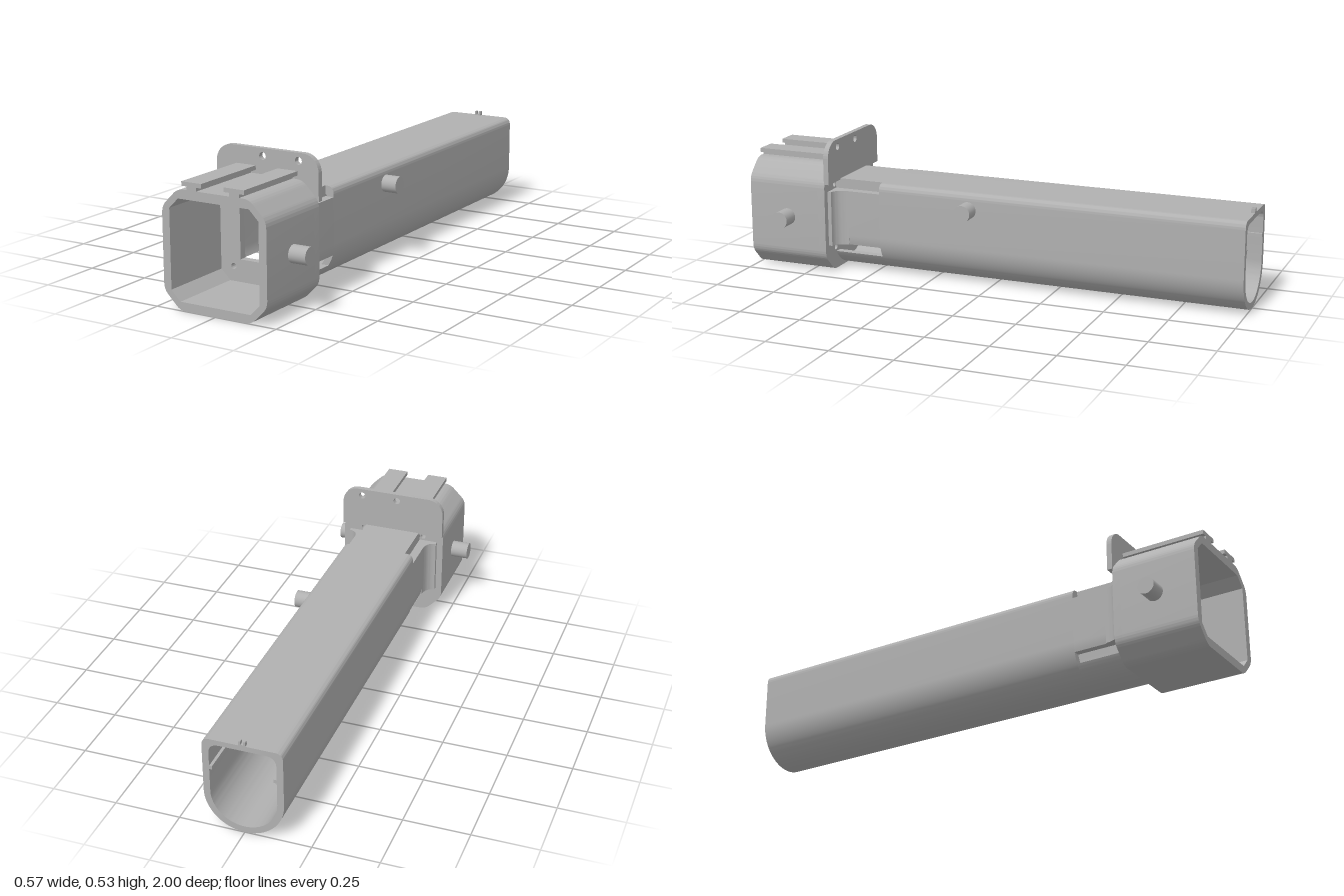
import * as THREE from 'three';
import { toCreasedNormals } from 'three/addons/utils/BufferGeometryUtils.js';

const plastic = new THREE.MeshStandardMaterial({ color: 0xb0b0b0 });
plastic.name = 'grey plastic';

// Closed outline through corner points, each corner rounded by its third value
function outline(points, Type = THREE.Shape) {
  const s = new Type();
  const n = points.length;
  const toward = (a, b, d) => {
    const l = Math.hypot(b[0] - a[0], b[1] - a[1]);
    return [a[0] + (b[0] - a[0]) * d / l, a[1] + (b[1] - a[1]) * d / l];
  };
  points.forEach((p, i) => {
    const r = p[2] || 0;
    const start = toward(p, points[(i + n - 1) % n], r);
    const end = toward(p, points[(i + 1) % n], r);
    if (i === 0) s.moveTo(...start); else s.lineTo(...start);
    if (r) s.quadraticCurveTo(p[0], p[1], ...end);
  });
  s.closePath();
  return s;
}

// Octagon with cut corners
const octagon = (w, y0, y1, c, r, Type) => outline([
  [w, y0 + c, r], [w, y1 - c, r], [w - c, y1, r], [c - w, y1, r],
  [-w, y1 - c, r], [-w, y0 + c, r], [c - w, y0, r], [w - c, y0, r],
], Type);

const circle = (x, y, r) => new THREE.Path().absarc(x, y, r, 0, Math.PI * 2, true);

// Tube section: half-round bottom, softened top corners
function tubeOutline(r, top, corner, Type) {
  const s = new Type();
  s.absarc(0, 0.15, r, Math.PI, Math.PI * 2, false);
  s.lineTo(r, top - corner);
  s.quadraticCurveTo(r, top, r - corner, top);
  s.lineTo(corner - r, top);
  s.quadraticCurveTo(-r, top, -r, top - corner);
  s.closePath();
  return s;
}

export function createModel() {
  const group = new THREE.Group();

  const add = (name, geometry, x = 0, y = 0, z = 0) => {
    const mesh = new THREE.Mesh(geometry, plastic);
    mesh.name = name;
    mesh.position.set(x, y, z);
    group.add(mesh);
    return mesh;
  };
  const extrude = (name, shape, z0, z1) => add(name, toCreasedNormals(
    new THREE.ExtrudeGeometry(shape, { depth: z1 - z0, bevelEnabled: false, curveSegments: 24 }), 0.5), 0, 0, z0);
  const box = (name, x0, x1, y0, y1, z0, z1) => add(name,
    new THREE.BoxGeometry(Math.abs(x1 - x0), y1 - y0, z1 - z0), (x0 + x1) / 2, (y0 + y1) / 2, (z0 + z1) / 2);
  const pin = (name, x0, x1, y, z) => add(name,
    new THREE.CylinderGeometry(0.033, 0.033, Math.abs(x1 - x0), 40).rotateZ(Math.PI / 2), (x0 + x1) / 2, y, z);

  // Head: open-fronted housing with a pierced back wall
  const housing = octagon(0.216, 0, 0.437, 0.068, 0.025);
  housing.holes.push(octagon(0.185, 0.033, 0.403, 0.038, 0, THREE.Path));
  extrude('headHousing', housing, 0.7, 1);
  const back = octagon(0.216, 0, 0.437, 0.068, 0.025);
  back.holes.push(outline([[-0.1, 0.118], [-0.1, 0.32], [0.1, 0.32], [0.1, 0.118]], THREE.Path));
  for (const x of [-0.13, 0.13]) for (const y of [0.089, 0.348]) back.holes.push(circle(x, y, 0.011));
  extrude('headBackWall', back, 0.67, 0.7);

  // Upright mounting flange
  const flange = new THREE.Shape();
  flange.moveTo(-0.216, 0.365);
  flange.lineTo(0.216, 0.365);
  flange.absarc(0.151, 0.467, 0.065, 0, Math.PI / 2, false);
  flange.absarc(-0.151, 0.467, 0.065, Math.PI / 2, Math.PI, false);
  flange.closePath();
  for (const x of [-0.018, 0.133]) flange.holes.push(circle(x, 0.503, 0.014));
  extrude('mountingFlange', flange, 0.65, 0.671);

  // T-shaped rails on top of the head
  for (const x of [-0.089, 0.0875]) {
    box('railStem', x - 0.0205, x + 0.0205, 0.43, 0.451, 0.67, 1);
    box('railCap', x - 0.0415, x + 0.0415, 0.45, 0.466, 0.67, 1);
  }

  // Main hollow tube
  const tube = tubeOutline(0.15, 0.37, 0.03, THREE.Shape);
  tube.holes.push(tubeOutline(0.125, 0.35, 0.04, THREE.Path));
  extrude('tube', tube, -1, 0.465);

  // Neck: the tube continues between four corner notches
  const z0 = 0.465, z1 = 0.67, cy = 0.15, ro = 0.15, ri = 0.125;
  box('neckTop', -0.115, 0.115, 0.35, 0.37, z0, z1);
  const ao = Math.asin(0.08 / ro), ai = Math.asin(0.08 / ri);
  const floor = new THREE.Shape();
  floor.absarc(0, cy, ro, Math.PI + ao, Math.PI * 2 - ao, false);
  floor.absarc(0, cy, ri, Math.PI * 2 - ai, Math.PI + ai, true);
  floor.closePath();
  extrude('neckBottom', floor, z0, z1);

  for (const s of [1, -1]) {
    // Side wall, following the start of the round bottom
    const wall = new THREE.Shape();
    const bo = Math.asin(0.04 / ro), bi = Math.asin(0.04 / ri);
    wall.moveTo(s * ri, 0.33);
    wall.lineTo(s * ro, 0.33);
    for (const [r, a, b] of [[ro, 0, bo], [ri, bi, 0]]) {
      for (let i = 0; i <= 4; i++) {
        const t = a + (b - a) * i / 4;
        wall.lineTo(s * r * Math.cos(t), cy - r * Math.sin(t));
      }
    }
    wall.closePath();
    extrude('neckSide', wall, z0, z1);

    // Pocket closing the upper notch
    box('notchFloor', s * 0.105, s * 0.148, 0.322, 0.33, z0, z1);
    box('notchWall', s * 0.105, s * 0.115, 0.322, 0.365, z0, z1);

    // Curved fillet from neck to head
    const fillet = new THREE.Shape();
    fillet.moveTo(s * 0.14, 0.6);
    fillet.lineTo(s * 0.15, 0.6);
    fillet.quadraticCurveTo(s * 0.151, 0.65, s * 0.19, 0.655);
    fillet.lineTo(s * 0.19, 0.67);
    fillet.lineTo(s * 0.14, 0.67);
    fillet.closePath();
    const geo = new THREE.ExtrudeGeometry(fillet, { depth: 0.22, bevelEnabled: false, curveSegments: 12 });
    add('neckFillet', toCreasedNormals(geo.rotateX(Math.PI / 2), 0.5), 0, 0.33, 0);

    // Inner guide rib and head pivot pin
    box('guideRib', s * 0.114, s * 0.13, 0.243, 0.257, -1, z0);
    pin('headPin', s * 0.21, s * 0.285, 0.22, 0.837);

    // Prong of the rear sight
    box('rearProng', s * 0.005, s * 0.013, 0.365, 0.387, -1, -0.985);
  }
  box('rearProngBase', -0.013, 0.013, 0.365, 0.374, -1, -0.985);

  // Single pin on the tube side
  pin('tubePin', 0.145, 0.212, 0.304, 0.087);

  return group;
}
